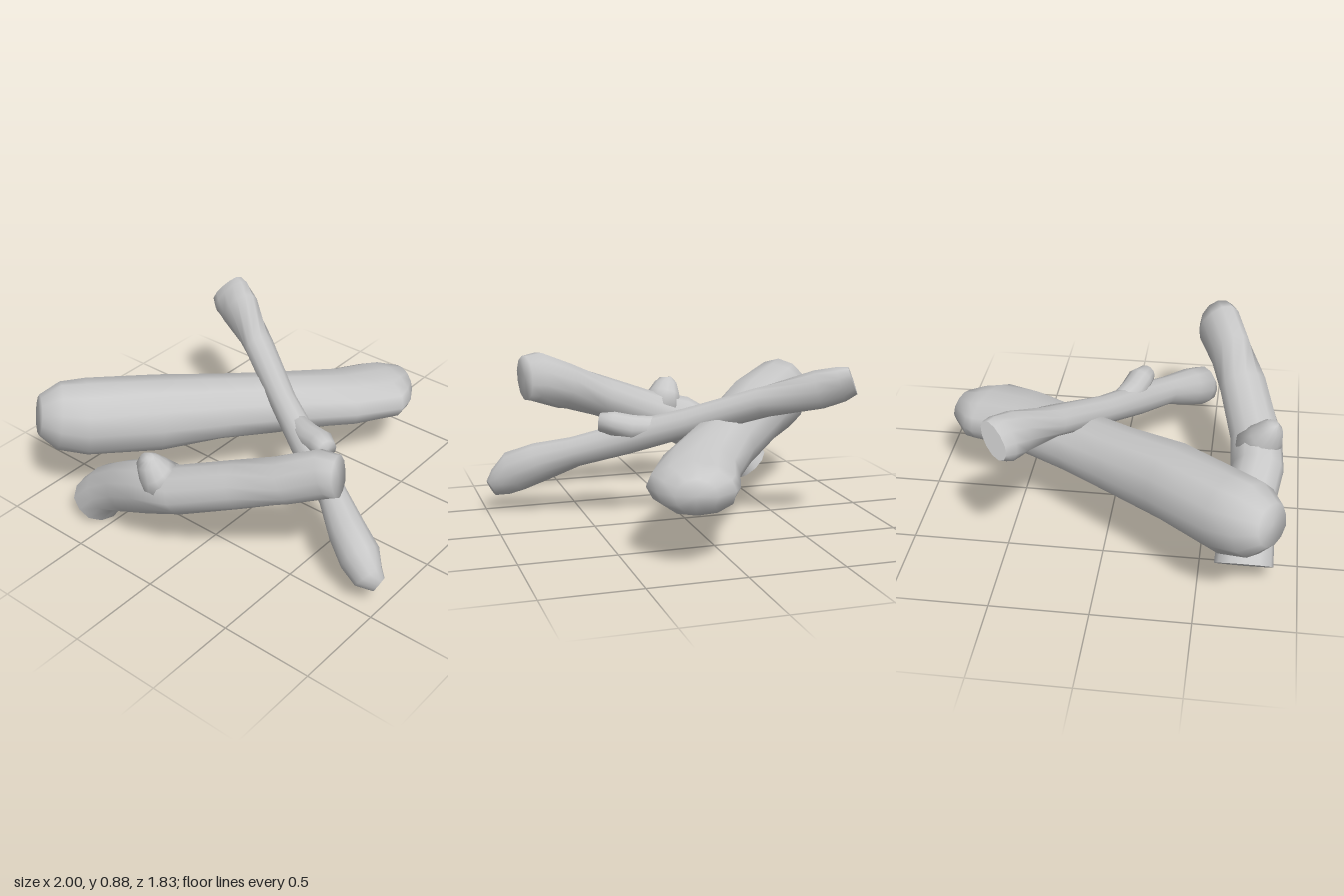
import * as THREE from 'three';

const SIDES = 12;

// Small seeded noise for uneven bark
function makeNoise(seed) {
  let s = seed;
  return () => {
    s = (s * 16807) % 2147483647;
    return s / 2147483647 - 0.5;
  };
}

// Lofts a log through rings of [x, y, z, sideways radius, upward radius, roll].
// cutStart gives the first end a sharp rim; other ends are softly rounded.
function log(name, rings, material, seed, cutStart = false) {
  const noise = makeNoise(seed);
  const centres = rings.map(r => new THREE.Vector3(r[0], r[1], r[2]));
  const pos = [], index = [];
  const worldUp = new THREE.Vector3(0, 1, 0);
  const last = rings.length - 1;

  rings.forEach(([, , , sideRadius, upRadius, roll = 0], i) => {
    const along = centres[Math.min(i + 1, last)].clone().sub(centres[Math.max(i - 1, 0)]).normalize();
    const side = along.clone().cross(worldUp).normalize();
    const up = side.clone().cross(along);
    side.applyAxisAngle(along, -roll);
    up.applyAxisAngle(along, -roll);
    for (let j = 0; j < SIDES; j++) {
      const a = (j / SIDES) * Math.PI * 2;
      const k = 1.01 + noise() * 0.06;
      const p = centres[i].clone()
        .addScaledVector(side, Math.cos(a) * sideRadius * k)
        .addScaledVector(up, Math.sin(a) * upRadius * k);
      pos.push(p.x, p.y, p.z);
    }
  });

  // Bark between neighbouring rings
  for (let i = 0; i < last; i++) {
    for (let j = 0; j < SIDES; j++) {
      const a = i * SIDES + j, b = i * SIDES + (j + 1) % SIDES;
      index.push(a, a + SIDES, b, b, a + SIDES, b + SIDES);
    }
  }

  // Ends; a cut end gets its own rim corners
  for (const i of [0, last]) {
    let rim = i * SIDES;
    if (i === 0 && cutStart) {
      rim = pos.length / 3;
      pos.push(...pos.slice(0, SIDES * 3));
    }
    const c = pos.length / 3;
    pos.push(...centres[i].toArray());
    for (let j = 0; j < SIDES; j++) {
      const a = rim + j, b = rim + (j + 1) % SIDES;
      if (i === 0) index.push(c, a, b);
      else index.push(c, b, a);
    }
  }

  const geometry = new THREE.BufferGeometry();
  geometry.setAttribute('position', new THREE.Float32BufferAttribute(pos, 3));
  geometry.setIndex(index);
  geometry.computeVertexNormals();
  const mesh = new THREE.Mesh(geometry, material);
  mesh.name = name;
  return mesh;
}

export function createModel() {
  const group = new THREE.Group();
  group.name = 'logPile';
  const wood = new THREE.MeshStandardMaterial({ color: 0xc8c8c8 });
  wood.name = 'greyWood';

  // Thick log running from front right to back left
  group.add(log('thickLog', [
    [-0.905, 0.54, 0.845, 0.11, 0.105],
    [-0.85, 0.52, 0.765, 0.175, 0.18],
    [-0.76, 0.49, 0.65, 0.20, 0.205],
    [-0.52, 0.465, 0.35, 0.19, 0.20],
    [-0.33, 0.44, 0.08, 0.18, 0.175],
    [-0.155, 0.415, -0.16, 0.175, 0.16],
    [0.085, 0.385, -0.50, 0.21, 0.135],
    [0.18, 0.36, -0.71, 0.225, 0.125],
    [0.185, 0.355, -0.79, 0.19, 0.115],
    [0.22, 0.36, -0.88, 0.10, 0.085],
  ], wood, 11));

  // Thin branch resting across the thick log, flattened at its upper end
  group.add(log('thinBranch', [
    [-0.745, 0.785, -0.485, 0.05, 0.105, 0.78],
    [-0.69, 0.765, -0.46, 0.075, 0.12, 0.78],
    [-0.59, 0.735, -0.415, 0.088, 0.115, 0.6],
    [-0.33, 0.655, -0.27, 0.08, 0.08],
    [0.00, 0.53, -0.07, 0.072, 0.075],
    [0.30, 0.43, 0.09, 0.08, 0.085],
    [0.55, 0.345, 0.22, 0.075, 0.08],
    [0.72, 0.275, 0.33, 0.095, 0.105],
    [0.85, 0.215, 0.395, 0.10, 0.115],
    [0.925, 0.155, 0.425, 0.075, 0.085],
    [0.98, 0.125, 0.415, 0.035, 0.05],
  ], wood, 23, true));

  // Broken twig merging into the thin branch
  group.add(log('branchStub', [
    [0.08, 0.495, -0.02, 0.055, 0.055],
    [0.27, 0.49, 0.055, 0.07, 0.07],
    [0.37, 0.515, 0.09, 0.07, 0.065],
    [0.435, 0.52, 0.12, 0.05, 0.05],
  ], wood, 37));

  // Bent log leaning up at the front
  group.add(log('leaningLog', [
    [-0.63, 0.07, 0.73, 0.15, 0.13],
    [-0.54, 0.175, 0.73, 0.14, 0.125],
    [-0.40, 0.25, 0.725, 0.135, 0.135],
    [-0.20, 0.365, 0.765, 0.135, 0.14],
    [0.00, 0.43, 0.745, 0.135, 0.12],
    [0.30, 0.555, 0.66, 0.128, 0.115],
    [0.53, 0.64, 0.575, 0.112, 0.13, -0.4],
    [0.70, 0.71, 0.50, 0.108, 0.14, -0.4],
    [0.765, 0.715, 0.48, 0.09, 0.125, -0.4],
  ], wood, 51, true));

  // Knot on the leaning log
  group.add(log('leaningLogKnot', [
    [-0.09, 0.43, 0.76, 0.13, 0.12],
    [-0.125, 0.52, 0.80, 0.095, 0.085],
    [-0.14, 0.58, 0.82, 0.065, 0.06],
    [-0.14, 0.61, 0.825, 0.035, 0.03],
  ], wood, 67));

  return group;
}
